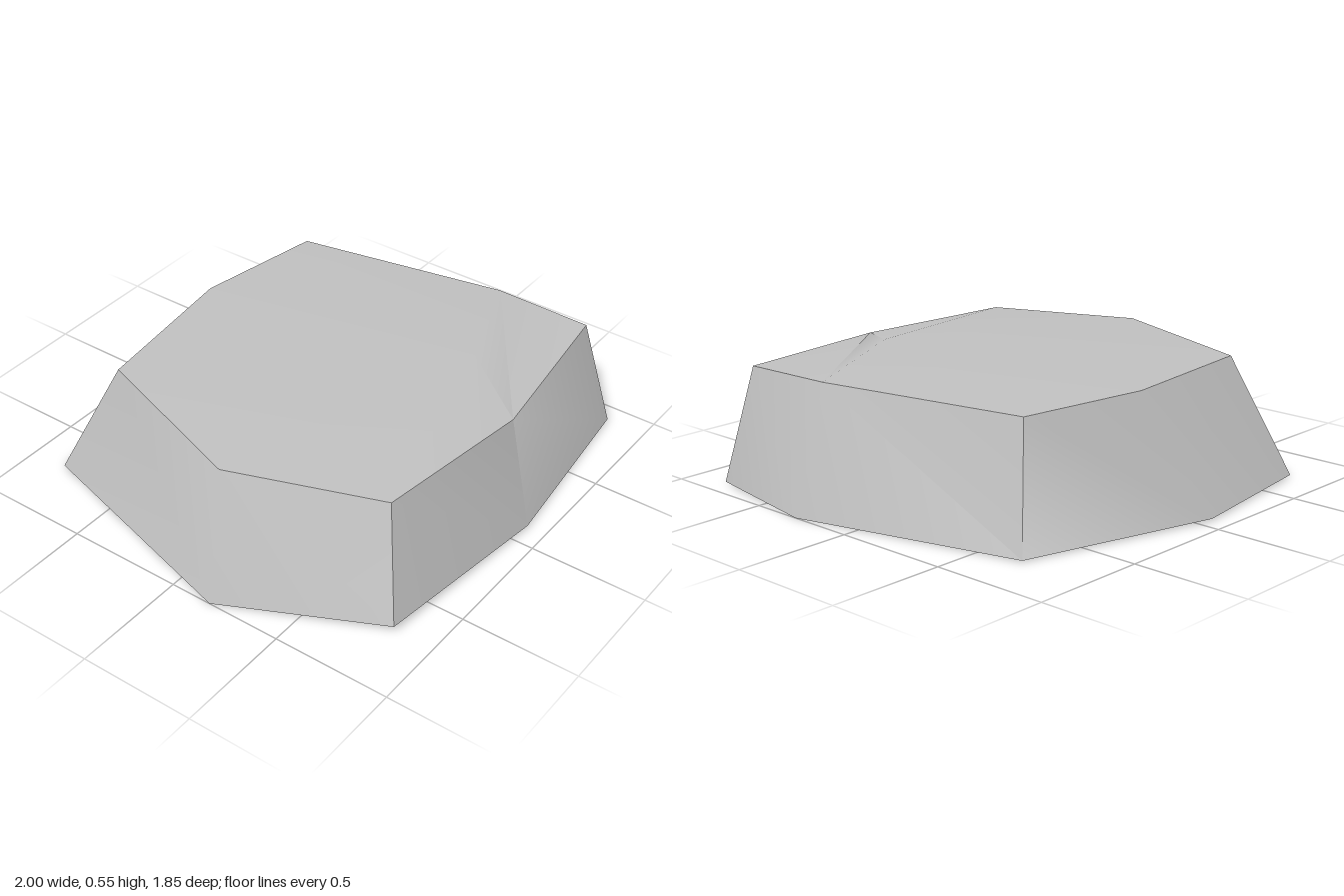
import * as THREE from 'three';
import { toCreasedNormals } from 'three/addons/utils/BufferGeometryUtils.js';

// Corner rings, running back-left -> back -> right -> front -> left
const base = [
  [-0.72, 0.01, -0.83], [-0.06, 0.01, -0.925], [0.76, 0.005, -0.69], [1, 0, 0.28],
  [0.908, 0.005, 0.825], [0.09, 0.015, 0.922], [-0.725, 0.042, 0.84], [-1, 0, 0.18],
];
const rim = [
  [-0.575, 0.508, -0.615], [0.1, 0.51, -0.695], [0.655, 0.505, -0.6], [0.825, 0.505, 0.3],
  [0.825, 0.497, 0.72], [0.1, 0.492, 0.815], [-0.6, 0.502, 0.73], [-0.828, 0.508, 0.11],
];
const peak = [0.3, 0.547, 0.51];
const underside = [0, 0, 0.2];

export function createModel() {
  const points = [];
  const tri = (a, b, c) => points.push(...a, ...b, ...c);

  base.forEach((b, i) => {
    const j = (i + 1) % base.length;
    // sloping side
    tri(b, rim[i], rim[j]);
    tri(b, rim[j], base[j]);
    // flat underside
    tri(underside, b, base[j]);
    // top slopes up to the off-centre peak, except at the front-right corner
    if (i !== 3 && i !== 4) tri(peak, rim[j], rim[i]);
  });
  // ridge face and the lower ledge at the front-right corner
  tri(peak, rim[5], rim[3]);
  tri(rim[3], rim[5], rim[4]);

  const geometry = new THREE.BufferGeometry();
  geometry.setAttribute('position', new THREE.Float32BufferAttribute(points, 3));

  const stone = new THREE.MeshStandardMaterial({ color: 0xc0c0c0 });
  stone.name = 'grey stone';
  // wide crease angle: soft facets, with sharp rim and corners
  const rock = new THREE.Mesh(toCreasedNormals(geometry, THREE.MathUtils.degToRad(60)), stone);
  rock.name = 'rock';

  const group = new THREE.Group();
  group.name = 'flat rock';
  group.add(rock);
  return group;
}
